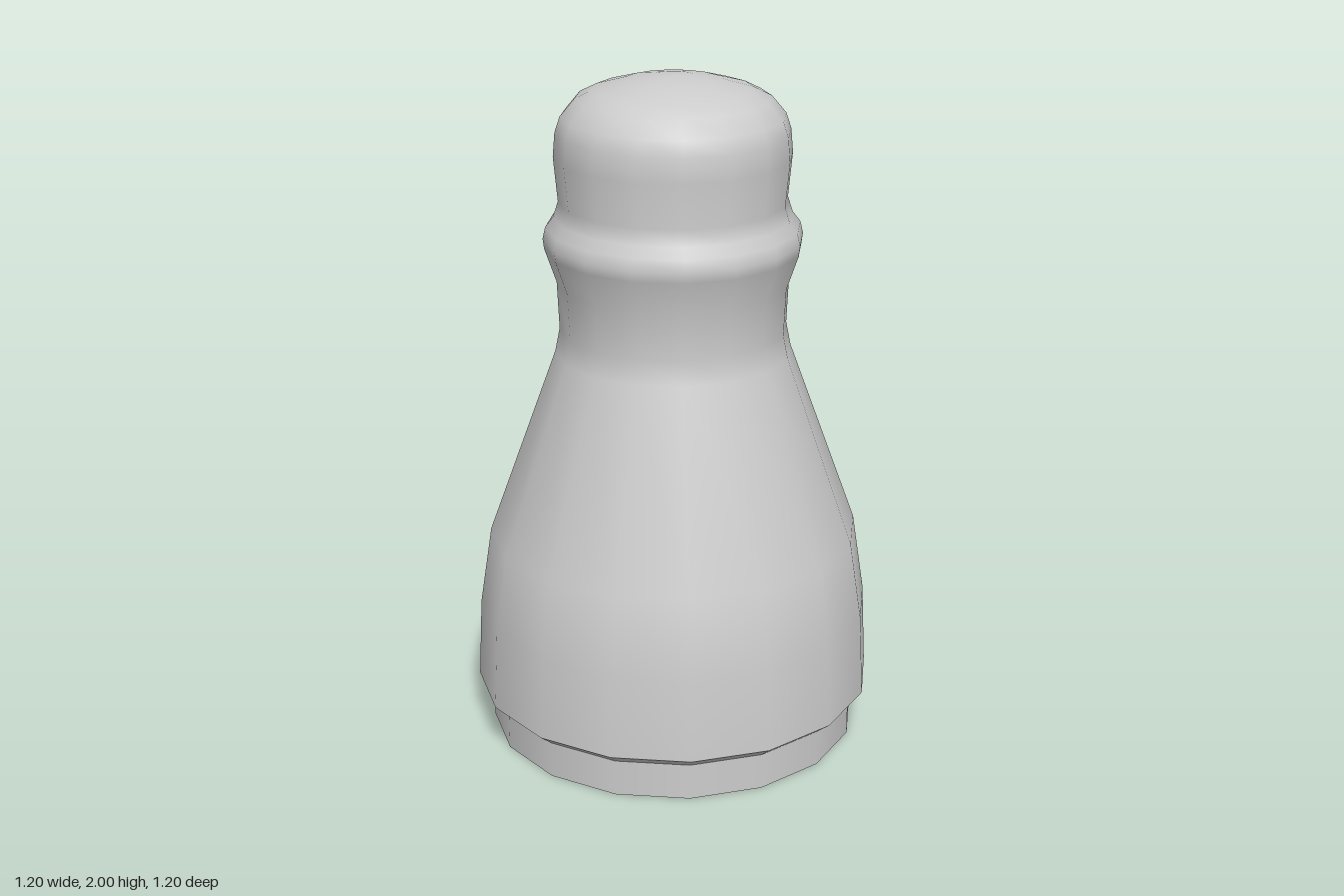
import * as THREE from 'three';

const SIDES = 16;

export function createModel() {
  const group = new THREE.Group();
  const grey = new THREE.MeshStandardMaterial({ color: 0xcccccc });
  grey.name = 'light grey';

  // Turned section from [radius, height] pairs listed bottom to top
  const turned = (name, profile, flat = false) => {
    let geometry = new THREE.LatheGeometry(profile.map(([r, y]) => new THREE.Vector2(r, y)), SIDES);
    if (flat) {
      geometry = geometry.toNonIndexed();
      geometry.computeVertexNormals();
    }
    const mesh = new THREE.Mesh(geometry, grey);
    mesh.name = name;
    group.add(mesh);
  };

  // Underside and recessed foot
  turned('underside', [[0, 0], [0.557, 0]]);
  turned('foot', [[0.557, 0], [0.557, 0.11]]);

  // Faceted bevel between foot and body
  turned('bevel', [[0.557, 0.11], [0.6, 0.145]], true);

  // Flared body, narrow neck, collar ring and domed cap in one smooth sweep
  turned('body', [
    [0.6, 0.145], [0.588, 0.39], [0.551, 0.63], [0.347, 1.19],
    [0.333, 1.26], [0.339, 1.4], [0.373, 1.5], [0.377, 1.53],
    [0.369, 1.565], [0.346, 1.595], [0.331, 1.64], [0.343, 1.77],
    [0.337, 1.84], [0.322, 1.885], [0.28, 1.935], [0.23, 1.96],
    [0.14, 1.985], [0.06, 1.997], [0, 2],
  ]);

  return group;
}
